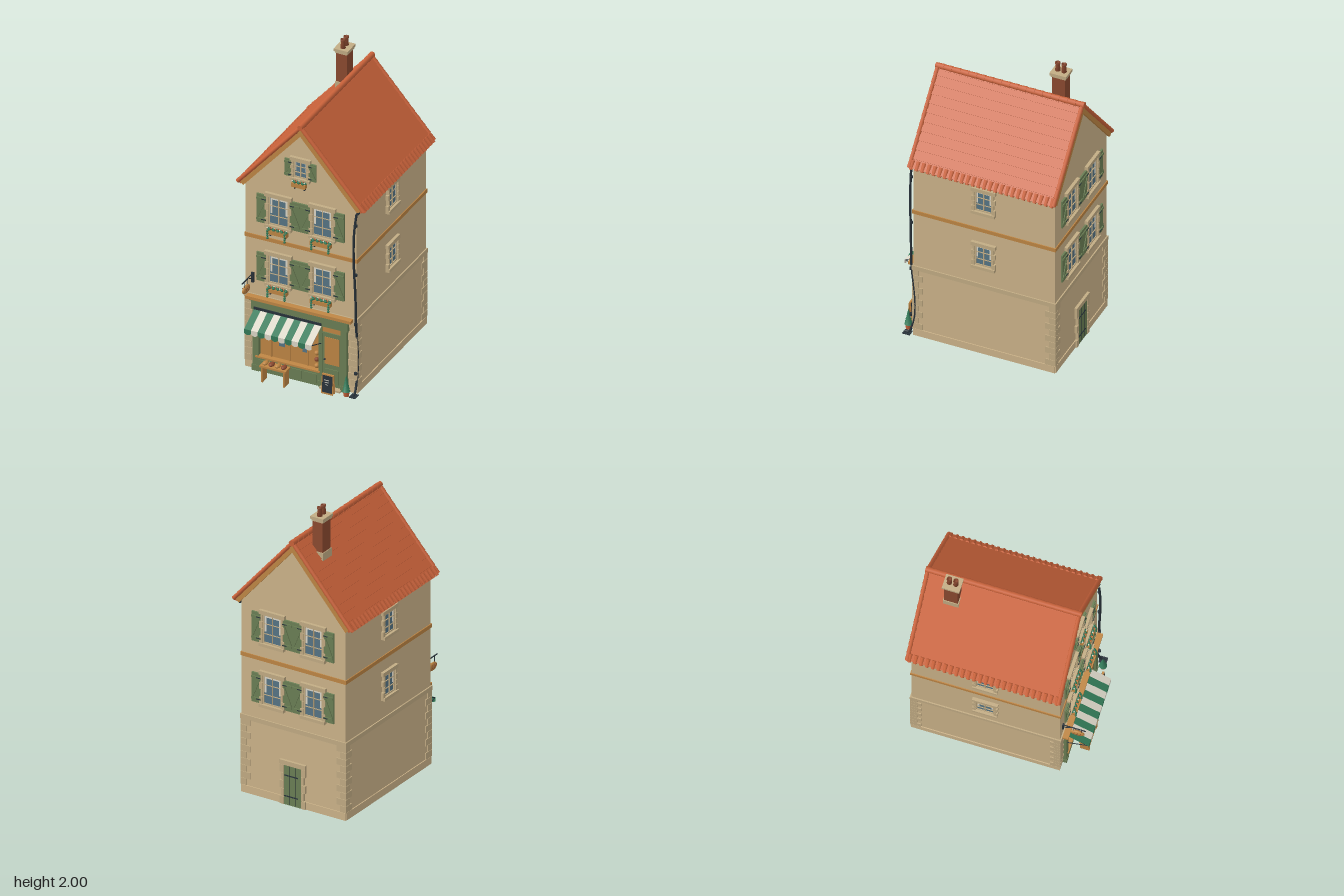
import * as THREE from 'three';

const mat = (name, color) => Object.assign(new THREE.MeshStandardMaterial({ color }), { name });
const plaster = mat('plaster', 0xcdb48a), stone = mat('stone', 0xc2ac84), tile = mat('roofTile', 0xc9623a);
const wood = mat('honeyWood', 0xbf8644), sage = mat('sagePaint', 0x6b7f55), leaf = mat('deepGreen', 0x337a58);
const cream = mat('cream', 0xdcd7c8), glass = mat('glass', 0x567585), iron = mat('darkIron', 0x28323a);
const brick = mat('brick', 0x8c4a30);
leaf.side = cream.side = THREE.DoubleSide;

const FRONT = 0.41, BACK = -0.545, MID = (FRONT + BACK) / 2, HALF = 0.38;

function add(parent, name, geo, material, x = 0, y = 0, z = 0) {
  const m = new THREE.Mesh(geo, material);
  m.name = name;
  m.position.set(x, y, z);
  parent.add(m);
  return m;
}
const box = (p, name, m, w, h, d, x, y, z) => add(p, name, new THREE.BoxGeometry(w, h, d), m, x, y, z);
const ball = (p, name, m, r, x, y, z) => add(p, name, new THREE.IcosahedronGeometry(r, 1), m, x, y, z);
function group(parent, name, x = 0, y = 0, z = 0, ry = 0) {
  const g = new THREE.Group();
  g.name = name;
  g.position.set(x, y, z);
  g.rotation.y = ry;
  parent.add(g);
  return g;
}
// round bar between two points
function bar(p, name, m, a, b, r) {
  const A = new THREE.Vector3(...a), B = new THREE.Vector3(...b), d = B.clone().sub(A);
  const mesh = add(p, name, new THREE.CylinderGeometry(r, r, d.length(), 8), m);
  mesh.position.copy(A).add(B).multiplyScalar(0.5);
  mesh.quaternion.setFromUnitVectors(new THREE.Vector3(0, 1, 0), d.normalize());
  return mesh;
}

function shutter(p, w, h, x, side) {
  const s = group(p, 'shutter', x, 0, 0.008);
  box(s, 'shutterBoard', sage, w, h, 0.012, 0, 0, 0);
  for (const y of [-0.36, 0.36]) {
    box(s, 'shutterBatten', sage, w * 0.95, 0.014, 0.008, 0, y * h, 0.008);
    box(s, 'hinge', iron, w * 0.45, 0.005, 0.004, -side * w * 0.27, y * h, 0.013);
  }
  const brace = box(s, 'shutterBrace', sage, 0.01, Math.hypot(w * 0.8, h * 0.68), 0.008, 0, 0, 0.008);
  brace.rotation.z = side * Math.atan2(w * 0.8, h * 0.68);
}

// window facing +z, centred on its opening
function windowUnit(p, x, y, z, ry, w, h, shutterW = 0, planter = false) {
  const g = group(p, 'window', x, y, z, ry);
  box(g, 'pane', glass, w, h, 0.004, 0, 0, 0.002);
  for (const s of [-1, 1]) {
    box(g, 'frameSide', stone, 0.01, h, 0.01, s * (w / 2 - 0.005), 0, 0.005);
    box(g, 'frameRail', stone, w, 0.01, 0.01, 0, s * (h / 2 - 0.005), 0.005);
    box(g, 'curtain', cream, w * 0.09, h * 0.55, 0.002, s * (w / 2 - w * 0.13), h * 0.18, 0.005);
    for (let i = 0; i < 4; i++) {
      const sw = i % 2 ? 0.014 : 0.024;
      box(g, 'jambStone', stone, sw, h / 4 - 0.003, 0.022, s * (w / 2 + sw / 2 - 0.003), (i - 1.5) * h / 4, 0.008);
    }
    if (shutterW) shutter(g, shutterW, h, s * (w / 2 + 0.01 + shutterW / 2), s);
  }
  box(g, 'curtainTop', cream, w * 0.75, h * 0.06, 0.002, 0, h * 0.42, 0.005);
  box(g, 'mullion', stone, 0.006, h, 0.01, 0, 0, 0.005);
  for (const t of [-0.17, 0.17]) box(g, 'glazingBar', stone, w, 0.004, 0.008, 0, t * h, 0.005);
  box(g, 'lintel', stone, w + 0.045, 0.026, 0.026, 0, h / 2 + 0.011, 0.008);
  box(g, 'sill', stone, w + 0.04, 0.02, 0.034, 0, -h / 2 - 0.008, 0.01);
  if (!planter) return;
  const by = -h / 2 - 0.037;
  box(g, 'flowerBox', wood, w, 0.028, 0.03, 0, by, 0.03);
  for (const s of [-1, 1]) box(g, 'boxBracket', iron, 0.006, 0.025, 0.02, s * w * 0.35, by - 0.022, 0.018);
  const n = Math.round(w / 0.014);
  for (let i = 0; i < n; i++) {
    const fx = (i + 0.5 - n / 2) * w / n;
    ball(g, 'foliage', leaf, 0.01, fx, by + 0.018, 0.026 + (i % 2) * 0.009);
    ball(g, 'blossom', i % 3 ? tile : cream, 0.005, fx, by + 0.027, 0.038 - (i % 2) * 0.012);
  }
  if (w > 0.1) for (const s of [-1, 1]) for (let i = 0; i < 4; i++)
    ball(g, 'trailingLeaf', leaf, 0.008, s * w * 0.42, by + 0.01 - i * 0.017, 0.046);
}

function walls(root) {
  const g = group(root, 'walls');
  const gable = () => new THREE.Shape([[-HALF, 0], [HALF, 0], [HALF, 1.329], [0, 1.762], [-HALF, 1.329]].map(p => new THREE.Vector2(...p)));
  const front = gable();
  front.holes.push(new THREE.Path([[-0.285, 0.1], [-0.285, 0.42], [0.13, 0.42], [0.13, 0.1]].map(p => new THREE.Vector2(...p))));
  const opts = { depth: 0.03, bevelEnabled: false };
  add(g, 'frontWall', new THREE.ExtrudeGeometry(front, opts), plaster, 0, 0, FRONT - 0.03);
  add(g, 'backWall', new THREE.ExtrudeGeometry(gable(), opts), plaster, 0, 0, BACK);
  for (const s of [-1, 1]) box(g, 'sideWall', plaster, 0.03, 1.325, FRONT - BACK - 0.06, s * (HALF - 0.015), 0.6625, MID);
  // bands wrapping the house
  const band = (name, m, y, h, out) => {
    for (const s of [-1, 1]) {
      box(g, name, m, 0.03, h, FRONT - BACK + 2 * out, s * (HALF + out - 0.015), y, MID);
      box(g, name, m, 2 * (HALF + out) - 0.06, h, 0.03, 0, y, s > 0 ? FRONT + out - 0.015 : BACK - out + 0.015);
    }
  };
  band('upperBand', wood, 0.94, 0.026, 0.006);
  band('lowerBand', stone, 0.515, 0.03, 0.008);
  for (const s of [-1, 1]) box(g, 'sidePlinth', plaster, 0.01, 0.05, FRONT - BACK, s * (HALF + 0.001), 0.025, MID);
  box(g, 'backPlinth', plaster, 2 * HALF, 0.05, 0.01, 0, 0.025, BACK - 0.001);
  // corner stones
  for (const s of [-1, 1]) for (const f of [-1, 1]) for (let i = 0; i < 10; i++) {
    const a = i % 2 ? 0.045 : 0.07, b = i % 2 ? 0.07 : 0.045;
    box(g, 'cornerStone', stone, b, 0.043, a, s * (HALF + 0.006 - b / 2), 0.073 + i * 0.0455, f > 0 ? FRONT + 0.006 - a / 2 : BACK - 0.006 + a / 2);
  }
  for (const y of [0.74, 1.155]) {
    for (const s of [-1, 1]) {
      windowUnit(g, s * 0.15, y, FRONT, 0, 0.14, 0.2, 0.07, true);
      windowUnit(g, s * 0.15, y, BACK, Math.PI, 0.14, 0.2, 0.07);
      windowUnit(g, s * HALF, y + 0.007, MID, s * Math.PI / 2, 0.12, 0.15);
    }
  }
  windowUnit(g, 0, 1.495, FRONT, 0, 0.095, 0.12, 0.05, true);
  // back door
  const d = group(g, 'backDoor', 0, 0, BACK, Math.PI);
  box(d, 'doorLeaf', sage, 0.13, 0.27, 0.014, 0, 0.135, 0.005);
  for (const y of [0.06, 0.2]) box(d, 'strapHinge', iron, 0.1, 0.007, 0.004, -0.01, y, 0.013);
  for (const x of [-0.022, 0.022]) box(d, 'plankJoint', iron, 0.002, 0.26, 0.002, x, 0.135, 0.012);
  box(d, 'doorLintel', stone, 0.19, 0.03, 0.024, 0, 0.285, 0.006);
  for (const s of [-1, 1]) for (let i = 0; i < 5; i++)
    box(d, 'doorJamb', stone, i % 2 ? 0.018 : 0.03, 0.051, 0.022, s * (i % 2 ? 0.073 : 0.079), 0.027 + i * 0.054, 0.006);
}

function roof(root) {
  const L = 0.652, A = Math.atan2(0.49, 0.43), W = 0.98, N = 11;
  for (const side of [0, Math.PI]) {
    const slope = group(group(root, 'roofSide', 0, 1.8, -0.07, side), 'roofSlope');
    slope.rotation.z = -A; // local x runs down the slope
    box(slope, 'roofDeck', tile, L, 0.018, W, L / 2, -0.017, 0);
    for (let i = 0; i < N; i++) {
      const c = box(slope, 'tileCourse', tile, L / N + 0.008, 0.009, W, (i + 0.5) * L / N, -0.004, 0);
      c.rotation.z = 0.1;
    }
    for (let i = 0; i < 26; i++) {
      const e = add(slope, 'eaveTile', new THREE.CylinderGeometry(0.014, 0.012, 0.06, 10), tile, L - 0.018, -0.004, (i - 12.5) * 0.0378);
      e.rotation.z = Math.PI / 2;
    }
    for (const s of [-1, 1]) {
      box(slope, 'bargeBoard', wood, L - 0.02, 0.028, 0.016, L / 2, -0.03, s * 0.486);
      for (let i = 0; i < 12; i++) {
        const v = add(slope, 'vergeTile', new THREE.CylinderGeometry(0.012, 0.015, 0.06, 10), tile, (i + 0.5) * L / 12, -0.002, s * 0.486);
        v.rotation.z = Math.PI / 2;
      }
    }
  }
  for (let i = 0; i < 18; i++) {
    const r = add(root, 'ridgeTile', new THREE.CylinderGeometry(0.017, 0.02, 0.058, 12), tile, 0, 1.797, -0.07 + (i - 8.5) * 0.0555);
    r.rotation.x = Math.PI / 2;
  }
  // chimney
  const c = group(root, 'chimney', -0.09, 0, -0.37);
  box(c, 'chimneyStack', brick, 0.074, 0.29, 0.088, 0, 1.775, 0);
  box(c, 'chimneyFlashing', stone, 0.084, 0.07, 0.1, 0, 1.668, 0);
  box(c, 'chimneyCollar', stone, 0.084, 0.012, 0.1, 0, 1.912, 0);
  box(c, 'chimneyCap', stone, 0.096, 0.018, 0.112, 0, 1.928, 0);
  const pot = [[0, 0], [0.017, 0], [0.013, 0.045], [0.017, 0.05], [0.017, 0.06], [0.011, 0.063], [0.01, 0.045], [0, 0.045]];
  for (const z of [-0.021, 0.021])
    add(c, 'chimneyPot', new THREE.LatheGeometry(pot.map(p => new THREE.Vector2(...p)), 14), brick, 0, 1.937, z);
  // gutter and downpipe
  bar(root, 'gutter', iron, [0.392, 1.287, 0.425], [0.392, 1.287, -0.55], 0.009);
  const path = new THREE.CatmullRomCurve3([[0.385, 1.285, 0.42], [0.38, 1.24, 0.425], [0.38, 0.6, 0.425], [0.38, 0.04, 0.425], [0.38, 0.015, 0.435], [0.38, 0.01, 0.468]].map(p => new THREE.Vector3(...p)), false, 'chordal');
  add(root, 'downpipe', new THREE.TubeGeometry(path, 60, 0.008, 8), iron);
  for (const y of [0.15, 0.5, 0.85, 1.2]) add(root, 'pipeCollar', new THREE.CylinderGeometry(0.011, 0.011, 0.015, 10), iron, 0.38, y, 0.425);
  box(root, 'drain', iron, 0.044, 0.006, 0.05, 0.38, 0.003, 0.45);
}

function shopfront(root) {
  const g = group(root, 'shopfront');
  const z = FRONT + 0.008;
  box(g, 'shopPane', wood, 0.415, 0.32, 0.006, -0.0775, 0.26, 0.397);
  for (const [x, y] of [[-0.135, 0.22], [0.025, 0.22], [-0.055, 0.37]]) box(g, 'paneGlint', glass, 0.042, 0.05, 0.009, x, y, 0.397);
  box(g, 'stallRiser', sage, 0.44, 0.1, 0.025, -0.08, 0.05, z);
  for (let i = 0; i < 4; i++) box(g, 'riserPanel', sage, 0.09, 0.06, 0.008, -0.235 + i * 0.103, 0.052, z + 0.014);
  box(g, 'shopSill', wood, 0.44, 0.012, 0.036, -0.08, 0.104, z + 0.004);
  for (const x of [-0.205, -0.08, 0.045]) box(g, 'shopMullion', wood, 0.007, 0.31, 0.012, x, 0.26, 0.404);
  for (const x of [-0.302, 0.141, 0.302]) {
    box(g, 'pilaster', sage, x === 0.141 ? 0.024 : 0.042, 0.44, 0.03, x, 0.22, z);
    box(g, 'pilasterBase', sage, x === 0.141 ? 0.028 : 0.05, 0.04, 0.036, x, 0.02, z);
  }
  box(g, 'fascia', sage, 0.66, 0.07, 0.034, 0, 0.468, z);
  box(g, 'fasciaMoulding', sage, 0.68, 0.012, 0.046, 0, 0.5, z);
  box(g, 'cornice', wood, 0.72, 0.02, 0.06, 0, 0.518, FRONT + 0.016);
  for (let i = 0; i < 3; i++) ball(g, 'shelfLoaf', i % 2 ? brick : wood, 0.016, 0.105, 0.125 + i * 0.045, 0.404);
  // entrance
  box(g, 'doorLeaf', sage, 0.13, 0.38, 0.014, 0.216, 0.19, FRONT + 0.004);
  box(g, 'doorPane', wood, 0.1, 0.19, 0.006, 0.216, 0.262, FRONT + 0.011);
  box(g, 'doorPanel', sage, 0.09, 0.1, 0.008, 0.216, 0.085, FRONT + 0.013);
  box(g, 'transomPane', wood, 0.125, 0.04, 0.014, 0.216, 0.412, FRONT + 0.005);
  box(g, 'transomBar', sage, 0.13, 0.012, 0.024, 0.216, 0.386, FRONT + 0.006);
  ball(g, 'doorKnob', iron, 0.007, 0.169, 0.2, FRONT + 0.018);
  box(g, 'doorStep', stone, 0.14, 0.012, 0.05, 0.216, 0.006, FRONT + 0.02);
  // striped awning with scalloped valance
  const n = 10, x0 = -0.31, sw = 0.0462, drop = 0.075, run = 0.142;
  for (let i = 0; i < n; i++) {
    const m = i % 2 ? cream : leaf, x = x0 + (i + 0.5) * sw;
    const top = add(g, 'awningStripe', new THREE.PlaneGeometry(sw, Math.hypot(drop, run)), m, x, 0.44 - drop / 2, 0.43 + run / 2);
    top.rotation.x = -Math.atan2(run, drop);
    const s = new THREE.Shape();
    s.moveTo(sw / 2, 0);
    s.lineTo(-sw / 2, 0);
    s.lineTo(-sw / 2, -0.026);
    s.quadraticCurveTo(0, -0.05, sw / 2, -0.026);
    add(g, 'awningValance', new THREE.ShapeGeometry(s, 8), m, x, 0.365, 0.572);
  }
  box(g, 'awningBox', iron, n * sw, 0.016, 0.02, x0 + n * sw / 2, 0.445, 0.432);
  for (const x of [x0 + 0.004, x0 + n * sw - 0.004]) {
    bar(g, 'awningArm', iron, [x, 0.363, 0.569], [x, 0.305, 0.42], 0.003);
    bar(g, 'awningRib', iron, [x, 0.362, 0.57], [x, 0.436, 0.43], 0.003);
  }
}

function streetItems(root) {
  // bread table
  const t = group(root, 'breadTable', -0.128, 0, 0.515);
  box(t, 'tableTop', wood, 0.18, 0.012, 0.07, 0, 0.112, 0);
  for (const s of [-1, 1]) box(t, 'tableLeg', wood, 0.012, 0.108, 0.06, s * 0.075, 0.054, 0);
  for (let i = 0; i < 4; i++) {
    const b = ball(t, 'loaf', i % 2 ? brick : wood, 0.018, -0.063 + i * 0.042, 0.126, 0);
    b.scale.set(1, 0.7, 1.5);
  }
  // chalkboard
  const c = group(root, 'chalkboard', 0.223, 0, 0.488);
  for (const s of [-1, 1]) {
    const leafBoard = group(c, 'boardSide', 0, 0.07, s * 0.008);
    leafBoard.rotation.x = -s * 0.08;
    box(leafBoard, 'boardFrame', wood, 0.08, 0.135, 0.006, 0, 0, 0);
    box(leafBoard, 'boardFace', iron, 0.068, 0.115, 0.004, 0, 0.002, s * 0.003);
  }
  for (let i = 0; i < 3; i++) box(c, 'chalkLine', cream, 0.035 - i * 0.007, 0.004, 0.002, -0.005, 0.1 - i * 0.016, 0.013);
  // potted tree
  const p = group(root, 'pottedTree', 0.335, 0, 0.463);
  add(p, 'pot', new THREE.CylinderGeometry(0.022, 0.016, 0.036, 14), tile, 0, 0.018, 0);
  for (let i = 0; i < 5; i++)
    add(p, 'treeTier', new THREE.ConeGeometry(0.026 - i * 0.004, 0.036, 10), leaf, 0, 0.052 + i * 0.019, 0);
  // hanging loaf sign
  const x = -0.33;
  bar(root, 'signArm', iron, [x, 0.672, FRONT], [x, 0.672, 0.56], 0.004);
  bar(root, 'signStay', iron, [x, 0.63, FRONT], [x, 0.67, 0.475], 0.003);
  box(root, 'signPlate', iron, 0.018, 0.07, 0.01, x, 0.645, FRONT + 0.004);
  for (const z of [0.48, 0.53]) bar(root, 'signChain', iron, [x, 0.672, z], [x, 0.62, z], 0.002);
  const sign = add(root, 'signLoaf', new THREE.SphereGeometry(1, 18, 12), wood, x, 0.608, 0.505);
  sign.scale.set(0.014, 0.027, 0.048);
  for (const z of [-0.02, 0, 0.02]) {
    const score = box(root, 'loafScore', brick, 0.029, 0.03, 0.004, x, 0.61, 0.505 + z);
    score.scale.x = z ? 0.88 : 1;
    score.rotation.x = 0.4;
  }
}

export function createModel() {
  const root = new THREE.Group();
  root.name = 'cornerBakery';
  walls(root);
  roof(root);
  shopfront(root);
  streetItems(root);
  return root;
}
